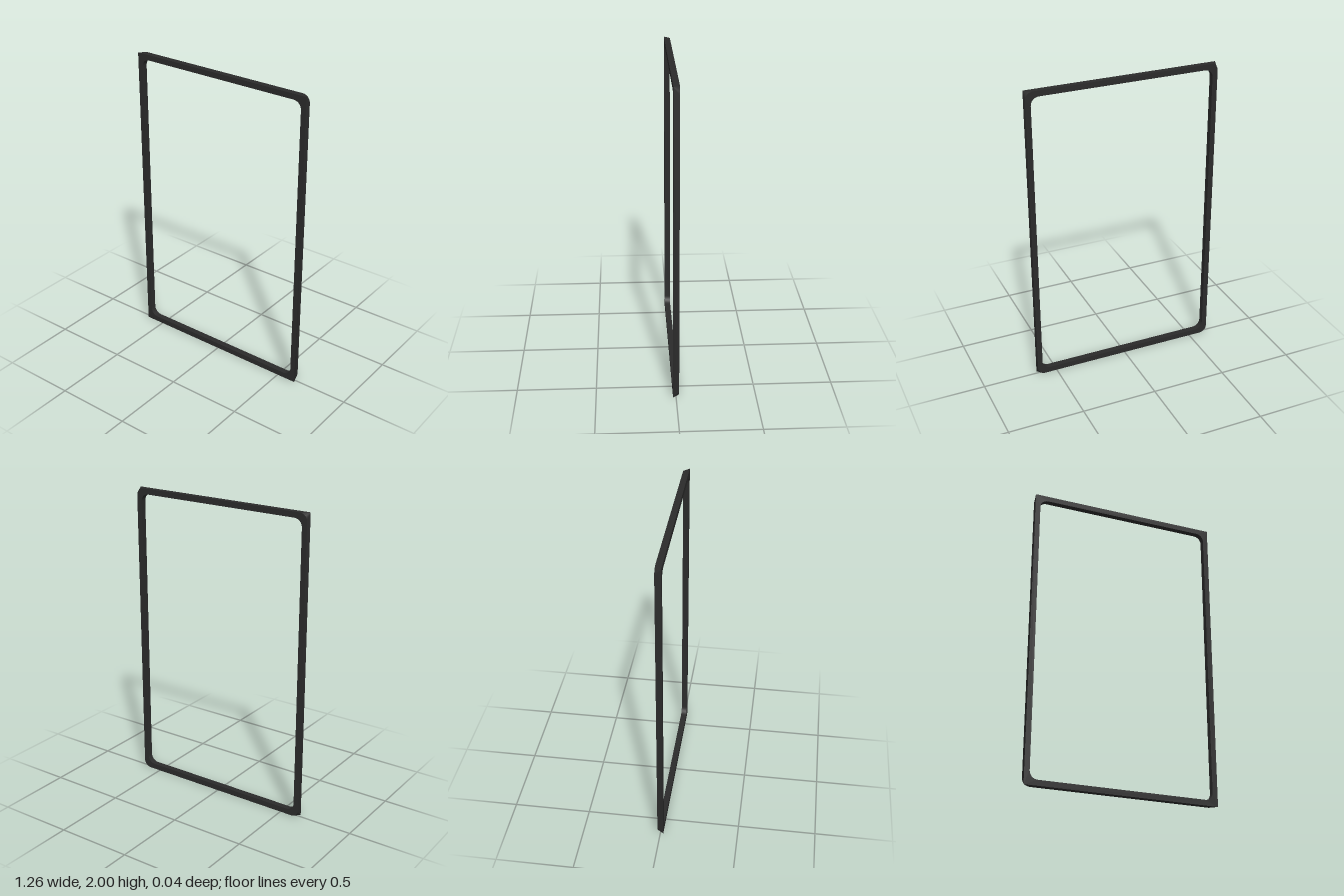
import * as THREE from 'three';
import { toCreasedNormals } from 'three/addons/utils/BufferGeometryUtils.js';

const STEPS = 8; // segments per rounded corner

// Rounded rectangle at depth z, counter-clockwise from the front
function ring(halfW, y0, y1, radius, z) {
  const corners = [[1, y1, -1], [-1, y1, -1], [-1, y0, 1], [1, y0, 1]];
  return corners.flatMap(([sx, y, sy], c) => {
    const points = [];
    for (let i = 0; i <= STEPS; i++) {
      const a = (c + i / STEPS) * Math.PI / 2;
      points.push([
        sx * (halfW - radius) + Math.cos(a) * radius,
        y + sy * radius + Math.sin(a) * radius,
        z,
      ]);
    }
    return points;
  });
}

// Joins closed rings into a closed band
function loftRings(rings) {
  const n = rings[0].length;
  const index = [];
  rings.forEach((_, r) => {
    const next = (r + 1) % rings.length;
    for (let j = 0; j < n; j++) {
      const k = (j + 1) % n;
      const a = r * n + j, b = r * n + k, c = next * n + k, d = next * n + j;
      index.push(a, b, c, a, c, d);
    }
  });
  const geometry = new THREE.BufferGeometry();
  geometry.setAttribute('position', new THREE.Float32BufferAttribute(rings.flat(2), 3));
  geometry.setIndex(index);
  return toCreasedNormals(geometry, Math.PI / 5);
}

export function createModel() {
  const group = new THREE.Group();
  group.name = 'rectangularFrame';

  // Square outline at the front, rounded corners at the back and in the opening
  const depth = 0.019;
  const frame = new THREE.Mesh(
    loftRings([
      ring(0.632, 0, 2, 0.05, -depth),
      ring(0.632, 0, 2, 0.003, depth),
      ring(0.598, 0.037, 1.964, 0.052, depth),
      ring(0.598, 0.037, 1.964, 0.052, -depth),
    ]),
    new THREE.MeshStandardMaterial({ color: 0x2b2b2b })
  );
  frame.name = 'frame';
  group.add(frame);
  return group;
}
